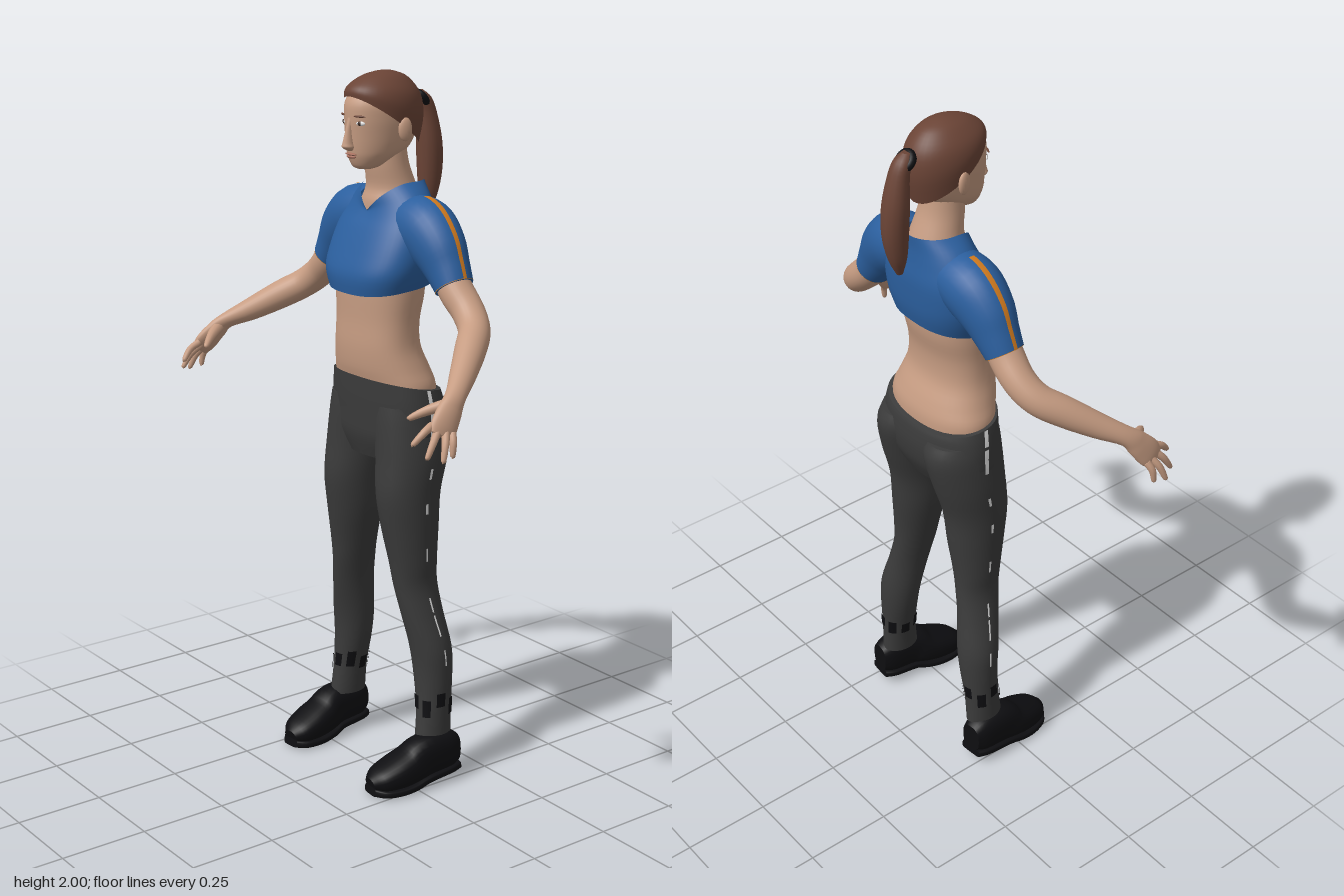
import * as THREE from 'three';

const mat = (name, color) => {
  const m = new THREE.MeshStandardMaterial({ color });
  m.name = name;
  return m;
};

// Smooth interpolation through rows [x, y, z, ru, rv, power, tilt, dip]
function rowAt(rows, t) {
  const last = rows.length - 1;
  const i = Math.min(Math.floor(t), last - 1), f = t - i;
  const get = (k, c) => {
    const d = rows[Math.max(0, Math.min(last, k))][c];
    return d === undefined ? (c === 5 ? 2 : 0) : d;
  };
  return [0, 1, 2, 3, 4, 5, 6, 7].map(c => {
    const a = get(i - 1, c), b = get(i, c), d = get(i + 1, c), e = get(i + 2, c);
    return b + 0.5 * f * (d - a + f * (2 * a - 5 * b + 4 * d - e + f * (3 * (b - d) + e - a)));
  });
}

// Skin over rings. ref null: level rings; otherwise rings square to the path.
// t0..t1 and a0..a1 cut out a patch of the same surface, raised by off.
function loft(rows, { ref = null, seg = 28, sub = 4, side = 1, t0 = 0, t1 = rows.length - 1,
  a0 = 0, a1 = Math.PI * 2, off = 0, capStart = true, capEnd = true } = {}) {
  const full = a1 - a0 > 6.28, cols = full ? seg : seg + 1;
  const steps = Math.max(2, Math.ceil((t1 - t0) * sub));
  const pos = [], idx = [];
  const flip = (side < 0) !== (!ref && rows[rows.length - 1][1] < rows[0][1]);
  const tri = (a, b, c) => (flip ? idx.push(a, c, b) : idx.push(a, b, c));
  const U = new THREE.Vector3(1, 0, 0), V = new THREE.Vector3(0, 0, 1);
  for (let i = 0; i <= steps; i++) {
    const t = t0 + (t1 - t0) * i / steps;
    const [x, y, z, ru, rv, n, tilt, dip] = rowAt(rows, t);
    if (ref) {
      const p = rowAt(rows, Math.max(0, t - 0.05)), q = rowAt(rows, Math.min(rows.length - 1, t + 0.05));
      const T = new THREE.Vector3(q[0] - p[0], q[1] - p[1], q[2] - p[2]).normalize();
      V.copy(ref).addScaledVector(T, -ref.dot(T)).normalize();
      U.crossVectors(T, V);
    }
    for (let j = 0; j < cols; j++) {
      const a = a0 + (a1 - a0) * j / seg, c = Math.cos(a), s = Math.sin(a);
      const u = (Math.max(ru, 0.001) + off) * Math.sign(c) * Math.abs(c) ** (2 / n);
      const v = (Math.max(rv, 0.001) + off) * Math.sign(s) * Math.abs(s) ** (2 / n);
      const drop = tilt * s + (s > 0 ? dip * (1 - Math.abs(c)) : 0);
      pos.push(side * (x + U.x * u + V.x * v), y + U.y * u + V.y * v - drop, z + U.z * u + V.z * v);
    }
  }
  for (let i = 0; i < steps; i++) for (let j = 0; j < seg; j++) {
    const a = i * cols + j, b = i * cols + (j + 1) % cols;
    tri(a, a + cols, b);
    tri(b, a + cols, b + cols);
  }
  const cap = (row, up) => {
    const base = pos.length / 3, m = [0, 0, 0];
    for (let k = 0; k < cols * 3; k++) {
      const w = pos[row * cols * 3 + k];
      pos.push(w);
      m[k % 3] += w / cols;
    }
    pos.push(...m);
    for (let j = 0; j < cols; j++) {
      const a = base + j, b = base + (j + 1) % cols;
      up ? tri(a, base + cols, b) : tri(b, base + cols, a);
    }
  };
  if (full && capStart) cap(0, false);
  if (full && capEnd) cap(steps, true);
  const g = new THREE.BufferGeometry();
  g.setAttribute('position', new THREE.Float32BufferAttribute(pos, 3));
  g.setIndex(idx);
  g.computeVertexNormals();
  return g;
}

export function createModel() {
  const skin = mat('skin', 0xc69c82), blue = mat('shirt blue', 0x2b5f9e), charcoal = mat('charcoal', 0x3b3b3b);
  const brown = mat('hair brown', 0x6b4436), black = mat('black', 0x0e0e11), orange = mat('orange', 0xd07a1e);
  const white = mat('white', 0xe6e6e6), lip = mat('lip', 0xa8705f), dark = mat('eye brown', 0x3a2a24);
  const model = new THREE.Group();
  model.name = 'woman';
  const add = (name, geo, m) => {
    const mesh = new THREE.Mesh(geo, m);
    mesh.name = name;
    model.add(mesh);
    return mesh;
  };
  const blob = (name, m, x, y, z, sx, sy, sz, ry = 0) => {
    const b = add(name, new THREE.SphereGeometry(1, 16, 12), m);
    b.position.set(x, y, z);
    b.scale.set(sx, sy, sz);
    b.rotation.y = ry;
  };
  const Z = new THREE.Vector3(0, 0, 1), Y = new THREE.Vector3(0, 1, 0);

  // Torso
  add('waist', loft([[0, 1.08, -0.075, 0.172, 0.1, 2.2], [0, 1.15, -0.073, 0.177, 0.103, 2.2],
    [0, 1.2, -0.06, 0.16, 0.102, 2.2], [0, 1.26, -0.045, 0.142, 0.092, 2.3], [0, 1.33, -0.045, 0.138, 0.09, 2.3],
    [0, 1.4, -0.052, 0.143, 0.098, 2.3], [0, 1.46, -0.055, 0.145, 0.1, 2.3]], { seg: 40 }), skin);
  add('neck', loft([[0, 1.6, -0.085, 0.13, 0.075], [0, 1.65, -0.09, 0.09, 0.078], [0, 1.69, -0.09, 0.073, 0.067],
    [0, 1.75, -0.075, 0.062, 0.06], [0, 1.81, -0.07, 0.056, 0.055]]), skin);
  add('shirt', loft([[0, 1.425, -0.055, 0.15, 0.121, 2.5, 0.018], [0, 1.47, -0.057, 0.165, 0.127, 2.6, 0.01],
    [0, 1.52, -0.07, 0.172, 0.118, 2.6], [0, 1.58, -0.085, 0.168, 0.105, 2.5],
    [0, 1.63, -0.092, 0.152, 0.092, 2.2, 0, 0.02], [0, 1.67, -0.095, 0.125, 0.086, 2, 0, 0.045],
    [0, 1.705, -0.095, 0.082, 0.088, 2, 0, 0.078]], { seg: 48, capEnd: false }), blue);

  // Hips of the leggings
  const hips = [[0, 0.94, -0.075, 0.15, 0.085], [0, 1, -0.08, 0.195, 0.108, 2.2], [0, 1.06, -0.083, 0.199, 0.115, 2.2],
    [0, 1.11, -0.08, 0.195, 0.115, 2.2], [0, 1.15, -0.077, 0.187, 0.113, 2.2, -0.022]];
  add('hips', loft(hips, { seg: 40 }), charcoal);

  const sleeve = [[0.08, 1.6, -0.095, 0.075, 0.075], [0.15, 1.585, -0.095, 0.088, 0.08],
    [0.205, 1.545, -0.093, 0.082, 0.072], [0.245, 1.495, -0.092, 0.066, 0.06], [0.277, 1.45, -0.09, 0.053, 0.053]];
  const arm = [[0.22, 1.53, -0.092, 0.045, 0.045], [0.28, 1.447, -0.09, 0.047, 0.048], [0.335, 1.395, -0.09, 0.044, 0.045],
    [0.385, 1.355, -0.07, 0.042, 0.043], [0.43, 1.32, -0.02, 0.041, 0.042], [0.485, 1.275, 0.05, 0.033, 0.035],
    [0.53, 1.24, 0.11, 0.022, 0.028], [0.545, 1.21, 0.14, 0.02, 0.035], [0.558, 1.175, 0.17, 0.016, 0.039],
    [0.566, 1.155, 0.185, 0.008, 0.03]];
  const tips = [[0.588, 1.105, 0.165], [0.595, 1.1, 0.2], [0.575, 1.11, 0.235], [0.54, 1.14, 0.253]];
  const leg = [[0.1, 1.1, -0.085, 0.085, 0.108], [0.104, 1.05, -0.09, 0.092, 0.117], [0.115, 0.95, -0.077, 0.09, 0.108],
    [0.122, 0.85, -0.06, 0.081, 0.097], [0.128, 0.75, -0.062, 0.073, 0.086], [0.138, 0.65, -0.066, 0.06, 0.073],
    [0.145, 0.58, -0.07, 0.051, 0.068], [0.162, 0.5, -0.08, 0.053, 0.064], [0.182, 0.4, -0.096, 0.061, 0.06],
    [0.19, 0.32, -0.1, 0.056, 0.056], [0.2, 0.22, -0.096, 0.045, 0.053], [0.205, 0.13, -0.09, 0.041, 0.057]];
  const boot = [[0.225, 0.085, -0.155, 0.033, 0.043, 2.6], [0.222, 0.085, -0.12, 0.045, 0.06, 2.6],
    [0.219, 0.083, -0.045, 0.05, 0.062, 2.6], [0.213, 0.066, 0, 0.058, 0.052, 2.5], [0.207, 0.052, 0.05, 0.06, 0.044, 2.5],
    [0.2, 0.04, 0.1, 0.05, 0.033, 2.4], [0.197, 0.034, 0.128, 0.025, 0.018]];
  const sole = boot.map(([x, , z, w], i) => [x, [0.036, 0.034, 0.028, 0.018, 0.012, 0.012, 0.015][i], z, w + 0.004, 0.012, 4]);

  for (const side of [1, -1]) {
    const s = side > 0 ? 'left' : 'right';
    // Sleeve with orange stripe and cuff
    const o = { ref: Z, side };
    add(s + 'Sleeve', loft(sleeve, o), blue);
    add(s + 'SleeveStripe', loft(sleeve, { ...o, seg: 3, sub: 8, t0: 0.7, a0: Math.PI - 0.1, a1: Math.PI + 0.1, off: 0.002 }), orange);
    add(s + 'SleeveCuff', loft(sleeve, { ...o, t0: 3.95, off: 0.001, capStart: false, capEnd: false }), orange);
    // Arm, palm and fingers
    add(s + 'Arm', loft(arm, o), skin);
    tips.forEach(([x, y, z], k) => {
      const d = [-0.028, -0.01, 0.01, 0.028][k];
      const b = [0.558 - 0.42 * d, 1.17 + 0.42 * d, 0.175 + 0.8 * d];
      add(s + 'Finger' + (k + 1), loft([[...b, 0.011, 0.011],
        [(b[0] + x) / 2 + 0.005, (b[1] + y) / 2 + 0.005, (b[2] + z) / 2 + 0.002, 0.01, 0.01],
        [x, y, z, 0.007, 0.007], [x, y - 0.003, z + 0.002, 0.002, 0.002]], { ...o, seg: 10 }), skin);
    });
    add(s + 'Thumb', loft([[0.535, 1.225, 0.135, 0.016, 0.018], [0.505, 1.208, 0.18, 0.013, 0.014],
      [0.478, 1.188, 0.215, 0.008, 0.008], [0.475, 1.185, 0.219, 0.002, 0.002]], { ...o, seg: 10 }), skin);
    // Leg with dashed side stripe and dark ankle marks
    add(s + 'Leg', loft(leg, { side }), charcoal);
    const dash = (rows, t0, t1, a) => add(s + 'LegStripe', loft(rows, { side, seg: 2, sub: 8, t0, t1, a0: a - 0.04, a1: a + 0.04, off: 0.002 }), white);
    dash(hips, 1.1, 2.6, 0);
    dash(hips, 2.8, 3.95, 0);
    [[2.2, 2.5], [3.2, 3.5], [4.5, 4.9], [6.4, 6.9], [7, 7.6], [8, 8.6]].forEach(([p, q]) => dash(leg, p, q, -0.04));
    for (let k = 0; k < 8; k++) {
      const a = k * Math.PI / 4 + 0.2, t0 = 9.5 + 0.1 * (k * 5 % 3);
      add(s + 'AnkleMark', loft(leg, { side, seg: 4, t0, t1: t0 + 0.4 + 0.1 * (k % 2), a0: a - 0.24, a1: a + 0.24, off: 0.003 }), black);
    }
    // Boot
    add(s + 'Boot', loft(boot, { ref: Y, side }), black);
    add(s + 'BootSole', loft(sole, { ref: Y, side }), black);
    // Side features of the head
    blob(s + 'Ear', skin, side * 0.087, 1.85, -0.07, 0.01, 0.032, 0.02, side * -0.25);
    blob(s + 'EyeWhite', white, side * 0.036, 1.868, 0.041, 0.014, 0.006, 0.004, side * 0.42);
    blob(s + 'Iris', dark, side * 0.035, 1.868, 0.043, 0.006, 0.006, 0.004, side * 0.42);
    blob(s + 'Brow', brown, side * 0.037, 1.887, 0.045, 0.018, 0.003, 0.003, side * 0.42);
  }

  // Head and face
  add('head', loft([[0, 1.742, 0, 0.02, 0.02], [0, 1.75, -0.008, 0.038, 0.042], [0, 1.775, -0.03, 0.059, 0.075],
    [0, 1.8, -0.045, 0.07, 0.094], [0, 1.84, -0.055, 0.078, 0.107], [0, 1.88, -0.06, 0.083, 0.114],
    [0, 1.92, -0.062, 0.082, 0.113], [0, 1.955, -0.066, 0.066, 0.093], [0, 1.98, -0.066, 0.04, 0.055],
    [0, 1.988, -0.066, 0.01, 0.01]]), skin);
  add('nose', loft([[0, 1.793, 0.048, 0.008, 0.006], [0, 1.803, 0.054, 0.016, 0.019], [0, 1.815, 0.054, 0.013, 0.018],
    [0, 1.845, 0.051, 0.009, 0.013], [0, 1.882, 0.048, 0.008, 0.006]], { seg: 14 }), skin);
  blob('upperLip', lip, 0, 1.784, 0.046, 0.023, 0.004, 0.008);
  blob('lowerLip', lip, 0, 1.777, 0.045, 0.019, 0.005, 0.008);

  // Hair, tie and ponytail
  add('hair', loft([[0, 1.865, -0.057, 0.086, 0.107, 2, -0.072], [0, 1.91, -0.065, 0.09, 0.115, 2, -0.042],
    [0, 1.95, -0.068, 0.079, 0.105, 2, -0.018], [0, 1.983, -0.067, 0.05, 0.07, 2, -0.004],
    [0, 1.997, -0.065, 0.022, 0.03], [0, 2, -0.065, 0.002, 0.002]], { seg: 36, capStart: false }), brown);
  add('ponytail', loft([[0, 1.94, -0.18, 0.012, 0.016], [0, 1.92, -0.195, 0.025, 0.025], [0, 1.88, -0.21, 0.03, 0.028],
    [0, 1.8, -0.221, 0.037, 0.036], [0, 1.72, -0.224, 0.034, 0.036], [0, 1.65, -0.219, 0.025, 0.026],
    [0, 1.6, -0.212, 0.007, 0.009]], { seg: 14 }), brown);
  const tie = add('hairTie', new THREE.TorusGeometry(0.022, 0.011, 10, 20), black);
  tie.position.set(0, 1.917, -0.187);
  tie.rotation.x = 0.7;
  return model;
}
